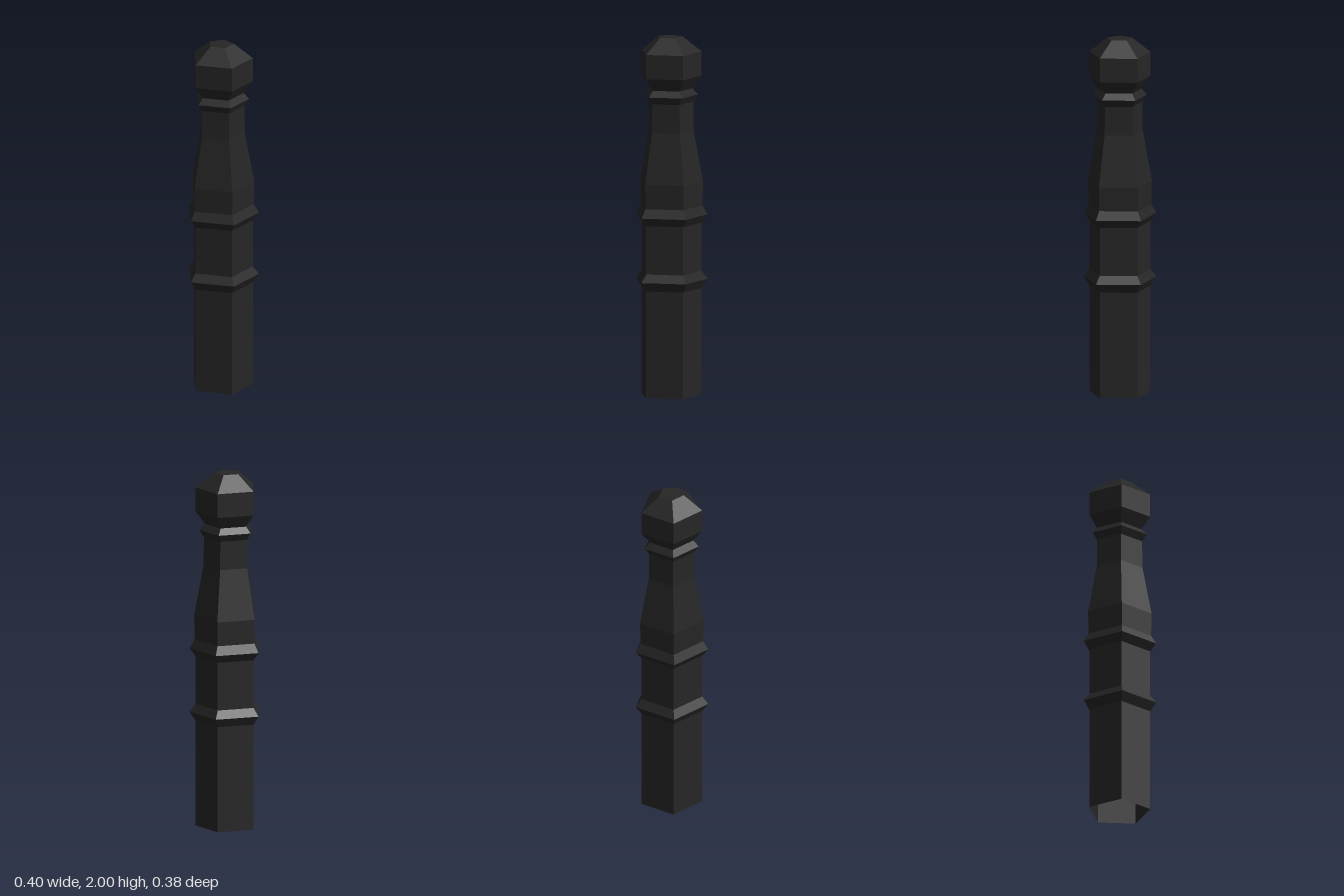
import * as THREE from 'three';

const AXIS_Z = 0.0195; // centres the five-sided outline on z = 0

export function createModel() {
  const group = new THREE.Group();
  group.name = 'turnedPost';
  const material = new THREE.MeshStandardMaterial({
    color: 0x262626, flatShading: true, side: THREE.DoubleSide,
  });

  // Each section is a five-sided lathe with one corner towards the back.
  const addSection = (name, profile) => {
    const points = profile.map(([r, y]) => new THREE.Vector2(r, y));
    const mesh = new THREE.Mesh(new THREE.LatheGeometry(points, 5, Math.PI), material);
    mesh.name = name;
    mesh.position.z = AXIS_Z;
    group.add(mesh);
  };

  // Shaft, open underneath
  addSection('base', [[0.177, 0], [0.177, 0.595]]);
  addSection('lowerRing', [[0.177, 0.595], [0.211, 0.645], [0.177, 0.69]]);
  addSection('middleShaft', [[0.177, 0.69], [0.177, 0.96]]);
  addSection('upperRing', [[0.177, 0.96], [0.211, 1.005], [0.182, 1.055]]);

  // Shoulder narrowing into the neck
  addSection('shoulder', [[0.182, 1.055], [0.185, 1.19], [0.133, 1.475]]);
  addSection('neck', [[0.133, 1.475], [0.131, 1.635]]);
  addSection('collar', [[0.131, 1.635], [0.157, 1.675], [0.126, 1.71]]);

  // Chamfered knob with a flat top
  addSection('knob', [[0.126, 1.71], [0.177, 1.78], [0.177, 1.915], [0.072, 2], [0, 2]]);

  return group;
}
